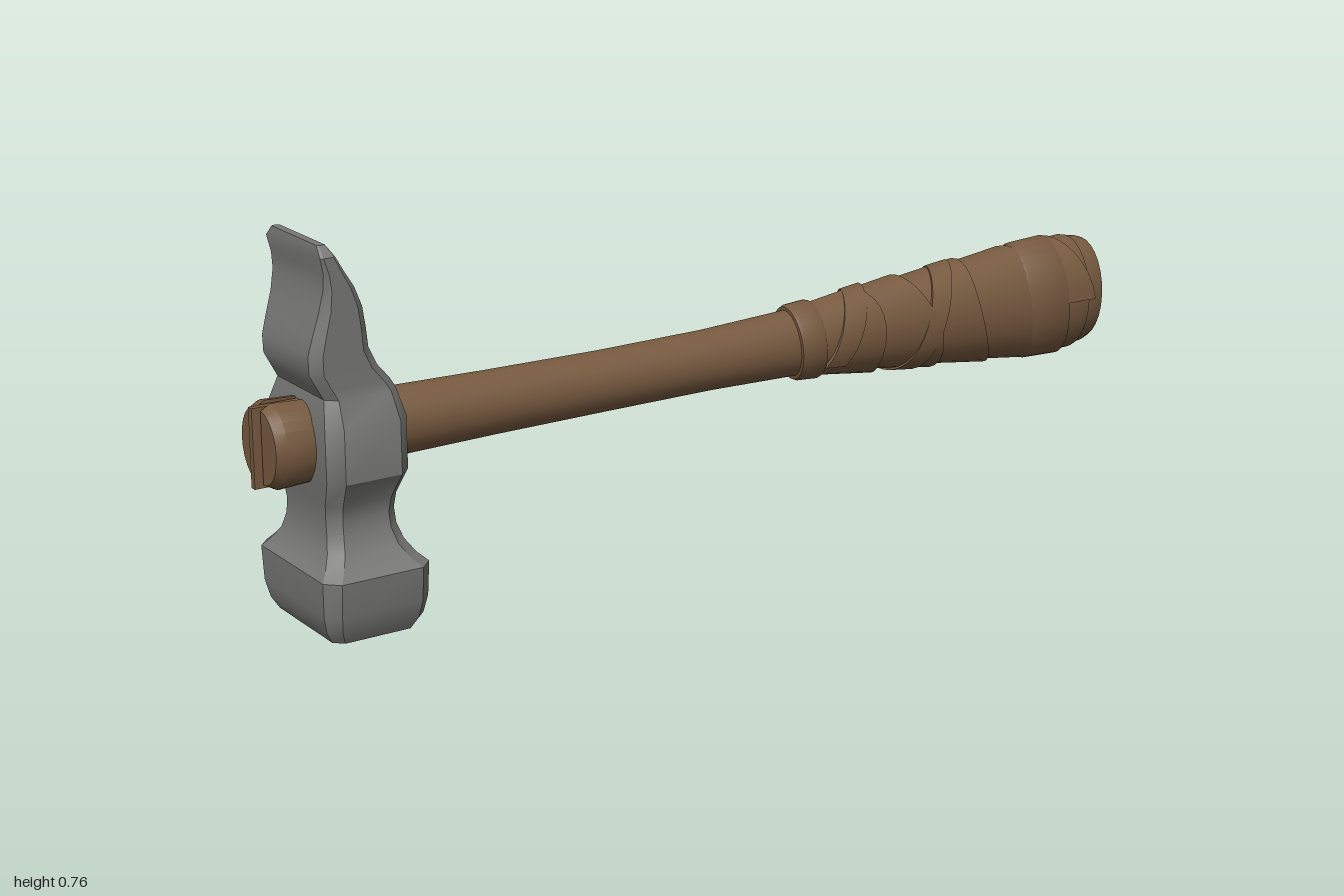
import * as THREE from 'three';
import { toCreasedNormals } from 'three/addons/utils/BufferGeometryUtils.js';

// Skin over a list of rings (arrays of [x, y, z]) with both ends capped
function loft(rings, crease = 0.55) {
  const n = rings[0].length, pos = rings.flat(2), idx = [];
  for (let i = 0; i < rings.length - 1; i++) {
    for (let j = 0; j < n; j++) {
      const a = i * n + j, b = i * n + (j + 1) % n;
      idx.push(a, b, b + n, a, b + n, a + n);
    }
  }
  const cap = (start, flip) => {
    const c = [0, 1, 2].map(k => {
      let s = 0;
      for (let j = 0; j < n; j++) s += pos[(start + j) * 3 + k];
      return s / n;
    });
    const ci = pos.length / 3;
    pos.push(...c);
    for (let j = 0; j < n; j++) {
      const a = start + j, b = start + (j + 1) % n;
      idx.push(ci, flip ? b : a, flip ? a : b);
    }
  };
  cap(0, true);
  cap((rings.length - 1) * n, false);
  const geo = new THREE.BufferGeometry();
  geo.setAttribute('position', new THREE.Float32BufferAttribute(pos, 3));
  geo.setIndex(idx);
  return toCreasedNormals(geo, crease);
}

// Handle profile: x, centre height, half height, half depth
const HANDLE = [
  [-0.85, 0.378, 0.068, 0.066], [-0.74, 0.378, 0.067, 0.065], [-0.5, 0.377, 0.063, 0.061],
  [-0.25, 0.376, 0.061, 0.059], [0, 0.377, 0.062, 0.059], [0.2, 0.379, 0.069, 0.060],
  [0.4, 0.380, 0.084, 0.063], [0.6, 0.378, 0.100, 0.069], [0.8, 0.376, 0.115, 0.077],
  [0.94, 0.377, 0.121, 0.082], [0.97, 0.378, 0.119, 0.081], [0.99, 0.378, 0.112, 0.075],
  [1, 0.378, 0.098, 0.062],
];

function handleAt(x) {
  let i = 0;
  while (i < HANDLE.length - 2 && HANDLE[i + 1][0] < x) i++;
  const p = HANDLE[i], q = HANDLE[i + 1];
  const t = THREE.MathUtils.clamp((x - p[0]) / (q[0] - p[0]), 0, 1);
  return p.map((v, k) => v + (q[k] - v) * t);
}

// Point on the handle surface, raised by lift
function onHandle(x, angle, lift) {
  const [, cy, ry, rz] = handleAt(x);
  return [x, cy + (ry + lift) * Math.cos(angle), (rz + lift) * Math.sin(angle)];
}

// Spiral strip; the right edge lies over the next turn
function strip(x0, x1, width, turns, a0, dir, low, high) {
  const rings = [], steps = Math.round(turns * 28);
  for (let i = 0; i <= steps; i++) {
    const t = i / steps, a = a0 + dir * t * turns * Math.PI * 2;
    const x = x0 + (x1 - x0) * t;
    const w = width * (1 + 0.1 * Math.sin(a * 1.7));
    const ring = [
      onHandle(x + w, a, high), onHandle(x + w * 0.5, a, (low + high) / 2), onHandle(x, a, low),
      onHandle(x, a, -0.004), onHandle(x + w, a, -0.004),
    ];
    rings.push(dir > 0 ? ring : ring.reverse());
  }
  return loft(rings);
}

// Closed band around the handle, tilted by skew
function band(x0, x1, lift, skew) {
  const rows = [[x0, -0.004], [x0, lift * 0.7], [x0 + 0.008, lift], [x1 - 0.008, lift], [x1, lift * 0.7], [x1, -0.004]];
  return loft(rows.map(([x, h]) => Array.from({ length: 32 }, (_, j) => {
    const a = j / 32 * Math.PI * 2;
    return onHandle(x - skew * Math.sin(a + 0.6), a, h);
  })));
}

export function createModel() {
  const group = new THREE.Group();
  const steel = new THREE.MeshStandardMaterial({ color: 0x787876 });
  steel.name = 'steel';
  const wood = new THREE.MeshStandardMaterial({ color: 0x775a40 });
  wood.name = 'wood';
  const add = (name, geo, mat) => {
    const m = new THREE.Mesh(geo, mat);
    m.name = name;
    group.add(m);
    return m;
  };

  // Head sections: y, left x, right x, half depth, corner chamfer
  const sections = [
    [0.003, -0.885, -0.755, 0.100, 0.012], [0.012, -0.906, -0.734, 0.125, 0.018],
    [0.035, -0.920, -0.718, 0.137, 0.022], [0.07, -0.928, -0.711, 0.147, 0.025],
    [0.138, -0.930, -0.709, 0.152, 0.026], [0.155, -0.916, -0.727, 0.136, 0.025],
    [0.18, -0.902, -0.743, 0.117, 0.024], [0.21, -0.896, -0.752, 0.105, 0.023],
    [0.24, -0.895, -0.754, 0.101, 0.023], [0.27, -0.898, -0.751, 0.108, 0.024],
    [0.322, -0.908, -0.741, 0.140, 0.026], [0.425, -0.908, -0.741, 0.140, 0.026],
    [0.475, -0.897, -0.750, 0.113, 0.020], [0.495, -0.908, -0.762, 0.112, 0.020],
    [0.525, -0.924, -0.787, 0.112, 0.020], [0.56, -0.925, -0.803, 0.112, 0.020],
    [0.60, -0.914, -0.808, 0.112, 0.018], [0.64, -0.902, -0.815, 0.112, 0.016],
    [0.68, -0.894, -0.832, 0.112, 0.012], [0.71, -0.894, -0.852, 0.112, 0.008],
    [0.742, -0.901, -0.871, 0.112, 0.005], [0.762, -0.898, -0.882, 0.092, 0.003],
  ];
  add('hammerHead', loft(sections.map(([y, l, r, d, c]) => [
    [r, y, d - c], [r, y, c - d], [r - c, y, -d], [l + c, y, -d],
    [l, y, c - d], [l, y, d - c], [l + c, y, d], [r - c, y, d],
  ]), 0.5), steel);

  // Handle shaft
  add('handle', loft(HANDLE.map(([x]) => Array.from({ length: 28 }, (_, j) =>
    onHandle(x, j / 28 * Math.PI * 2, 0)))), wood);

  // Split handle end behind the head, two cheeks with a wedge between
  for (const side of [1, -1]) {
    const rings = [[-0.985, 0.86], [-0.965, 1], [-0.9, 0.96], [-0.82, 0.85]].map(([x, s]) =>
      Array.from({ length: 13 }, (_, j) => {
        const a = j / 12 * Math.PI + (side > 0 ? 0 : Math.PI);
        return [x, 0.378 + 0.082 * s * Math.cos(a), side * 0.012 + 0.068 * s * Math.sin(a)];
      }));
    add(side > 0 ? 'handleEndFront' : 'handleEndBack', loft(rings), wood);
  }
  const wedge = add('wedge', new THREE.BoxGeometry(0.16, 0.155, 0.014), wood);
  wedge.position.set(-0.92, 0.377, 0);

  // Grip wrapping: spiral strip, crossing strip and end bands
  add('gripWrap', strip(0.2, 0.78, 0.16, 4.25, 0, 1, 0.003, 0.012), wood);
  add('gripCrossWrap', strip(0.26, 0.62, 0.05, 1.6, 2.2, -1, 0.011, 0.013), wood);
  add('gripStartBand', band(0.205, 0.265, 0.01, 0.012), wood);
  add('gripEndBand', band(0.80, 0.905, 0.013, 0.025), wood);
  add('gripRim', band(0.88, 0.945, 0.005, 0), wood);
  return group;
}
